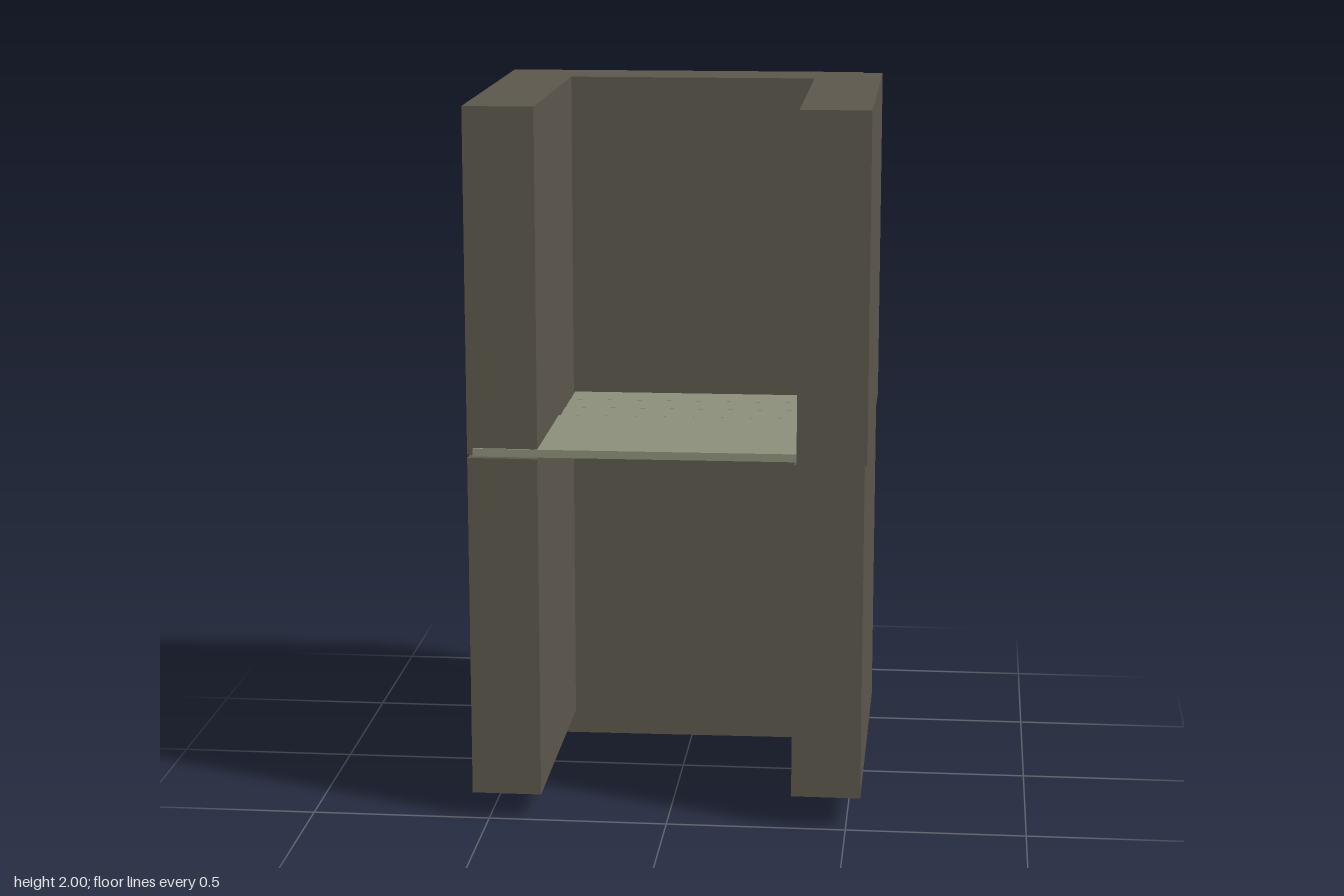
import * as THREE from 'three';

export function createModel() {
  const model = new THREE.Group();
  const stone = new THREE.MeshStandardMaterial({ color: 0x5b574c });
  stone.name = 'dark stone';
  const sage = new THREE.MeshStandardMaterial({ color: 0x8b8e79 });
  sage.name = 'sage board';

  // Box given by its extents, turned slightly about its own vertical axis
  function slab(name, material, [x0, x1], [y0, y1], [z0, z1], turn = 0) {
    const mesh = new THREE.Mesh(new THREE.BoxGeometry(x1 - x0, y1 - y0, z1 - z0), material);
    mesh.position.set((x0 + x1) / 2, (y0 + y1) / 2, (z0 + z1) / 2);
    mesh.rotation.y = turn;
    mesh.name = name;
    model.add(mesh);
  }

  // Side walls, two stacked slabs each
  slab('lowerRightWall', stone, [-0.549, -0.355], [0.07, 1.036], [-0.473, 0.487], 0.002);
  slab('upperRightWall', stone, [-0.549, -0.355], [1.045, 2], [-0.474, 0.487], 0.002);
  slab('lowerLeftWall', stone, [0.348, 0.54], [0.09, 1.037], [-0.47, 0.49]);
  slab('upperLeftWall', stone, [0.354, 0.546], [1.037, 2], [-0.47, 0.49], 0.002);

  // Back wall, set a little askew
  slab('lowerBackWall', stone, [-0.473, 0.491], [0, 1.03], [-0.474, -0.281], 0.019);
  slab('upperBackWall', stone, [-0.473, 0.489], [0.98, 2], [-0.487, -0.294], 0.021);

  // Shelf: one deep front board and three narrow planks behind it
  const turn = 0.016;
  slab('shelfFrontBoard', sage, [-0.535, 0.357], [1.042, 1.064], [0.044, 0.487], turn);
  for (let i = 0; i < 3; i++) {
    const z = 0.042 - i * 0.109;
    slab('shelfPlank' + (i + 1), sage, [-0.35, 0.354], [1.042, 1.064], [z - 0.108, z], turn);
  }
  return model;
}
